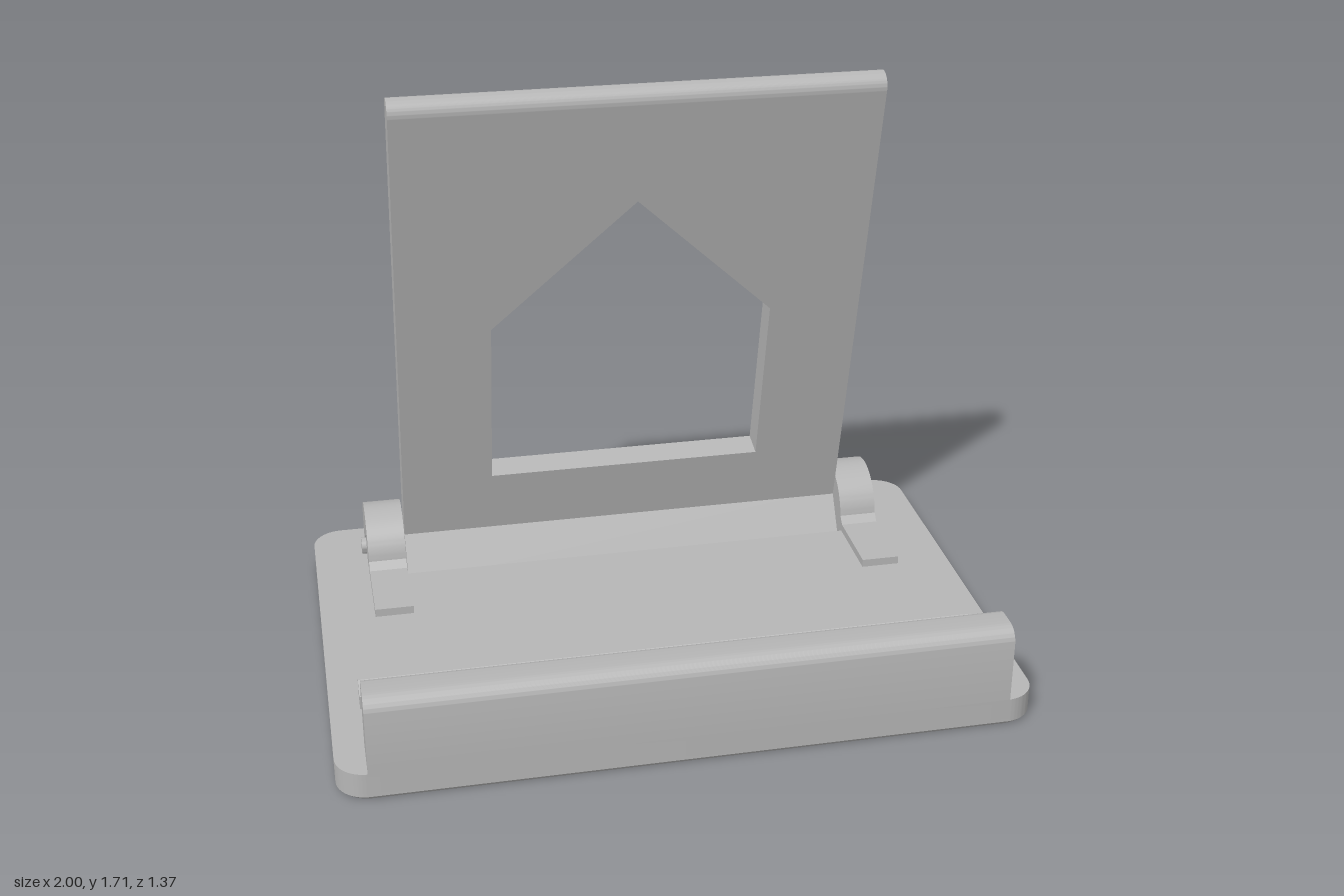
import * as THREE from 'three';
import { toCreasedNormals } from 'three/addons/utils/BufferGeometryUtils.js';

const grey = new THREE.MeshStandardMaterial({ color: 0xb6b6b6 });
grey.name = 'light grey plastic';

function part(name, geometry, parent) {
  const mesh = new THREE.Mesh(toCreasedNormals(geometry, 0.6), grey);
  mesh.name = name;
  parent.add(mesh);
  return mesh;
}

// Side profile drawn as (-z, y), extruded along x from x0 to x1
function alongX(shape, x0, x1) {
  return new THREE.ExtrudeGeometry(shape, { depth: x1 - x0, bevelEnabled: false, curveSegments: 24 })
    .rotateY(Math.PI / 2).translate(x0, 0, 0);
}

const polygon = (points) => new THREE.Shape(points.map(([a, b]) => new THREE.Vector2(a, b)));

export function createModel() {
  const model = new THREE.Group();
  model.name = 'foldingStand';
  const W = 1, D = 0.685, H = 0.085, R = 0.09;
  const slotX = 0.717, slotZ = -0.36;
  const pivotY = 0.115, pivotZ = -0.515, tilt = 0.231;

  // Base: rounded plate with an open slot at the back for the hinge
  const plan = new THREE.Shape();
  plan.moveTo(-W + R, -D);
  plan.lineTo(W - R, -D);
  plan.absarc(W - R, -D + R, R, -Math.PI / 2, 0);
  plan.lineTo(W, D - R);
  plan.absarc(W - R, D - R, R, 0, Math.PI / 2);
  plan.lineTo(slotX, D);
  plan.lineTo(slotX, -slotZ);
  plan.lineTo(-slotX, -slotZ);
  plan.lineTo(-slotX, D);
  plan.lineTo(-W + R, D);
  plan.absarc(-W + R, D - R, R, Math.PI / 2, Math.PI);
  plan.lineTo(-W, -D + R);
  plan.absarc(-W + R, -D + R, R, Math.PI, Math.PI * 1.5);
  const base = new THREE.ExtrudeGeometry(plan, { depth: H, steps: 8, bevelEnabled: false, curveSegments: 12 })
    .rotateX(-Math.PI / 2);
  // Small chamfer around the bottom edge
  const p = base.attributes.position;
  for (let i = 0; i < p.count; i++) {
    if (p.getY(i) > 0.001) continue;
    p.setX(i, p.getX(i) - Math.sign(p.getX(i)) * 0.008);
    p.setZ(i, p.getZ(i) - Math.sign(p.getZ(i)) * 0.008);
  }
  part('base', base, model);

  // Front lip with rounded top edges
  const lip = new THREE.Shape();
  const r = 0.045, top = 0.315;
  lip.moveTo(-D, H);
  lip.lineTo(-0.545, H);
  lip.lineTo(-0.545, top - r);
  lip.absarc(-0.545 - r, top - r, r, 0, Math.PI / 2);
  lip.lineTo(-D + r, top);
  lip.absarc(-D + r, top - r, r, Math.PI / 2, Math.PI);
  lip.lineTo(-D, H);
  part('frontLip', alongX(lip, -0.913, 0.913), model);

  // Low stop rib, chamfered at the front
  const rib = polygon([[-0.37, H], [-0.315, H], [-0.315, 0.16], [-0.335, 0.16], [-0.37, 0.125]]);
  part('stopRib', alongX(rib, -0.913, 0.913), model);

  // Hinge ears: dome, flat foot and teardrop hole in one profile
  const ear = new THREE.Shape();
  const c = -pivotZ, er = 0.14;
  ear.moveTo(0.118, H);
  ear.lineTo(c + er, H);
  ear.lineTo(c + er, pivotY);
  ear.absarc(c, pivotY, er, 0, Math.PI - 0.12);
  ear.lineTo(0.354, 0.11);
  ear.lineTo(0.118, 0.11);
  const hole = new THREE.Path();
  const hr = 0.033;
  hole.moveTo(c, pivotY + hr * Math.SQRT2);
  hole.absarc(c, pivotY, hr, Math.PI * 0.75, Math.PI * 2.25);
  hole.lineTo(c, pivotY + hr * Math.SQRT2);
  ear.holes.push(hole);
  part('leftHingeEar', alongX(ear, slotX, 0.835), model);
  part('rightHingeEar', alongX(ear, -0.835, -slotX), model);

  // Tilting back rest, built upright around the hinge axis
  const backRest = new THREE.Group();
  backRest.name = 'backRest';
  backRest.position.set(0, pivotY, pivotZ);
  backRest.rotation.x = tilt;
  model.add(backRest);

  const t = 0.0415, len = 1.598, bw = 0.713;
  const panel = polygon([[-bw, 0], [bw, 0], [bw, len], [-bw, len]]);
  panel.holes.push(polygon([[-0.43, 0.283], [-0.43, 0.858], [0, 1.28], [0.43, 0.858], [0.43, 0.283]]));
  part('backPanel', new THREE.ExtrudeGeometry(panel, { depth: 2 * t, bevelEnabled: false }).translate(0, 0, -t), backRest);

  // Rounded top edge of the panel
  const cap = new THREE.Shape();
  cap.moveTo(-t, len);
  cap.lineTo(t, len);
  cap.absarc(0, len, t, 0, Math.PI);
  part('panelTopEdge', alongX(cap, -bw, bw), backRest);

  // Faceted hinge bar with 45 degree shoulders
  const bar = polygon([[-0.1, -0.09], [0.1, -0.09], [0.155, -0.044], [0.03, 0.08], [-0.03, 0.08], [-0.155, -0.044]]);
  part('hingeBar', alongX(bar, -bw, bw), backRest);

  // Pins through the ears
  for (const side of [1, -1]) {
    part(side > 0 ? 'leftHingePin' : 'rightHingePin',
      new THREE.CylinderGeometry(0.026, 0.026, 0.15, 24).rotateZ(Math.PI / 2).translate(side * 0.775, 0, 0), backRest);
  }
  return model;
}
